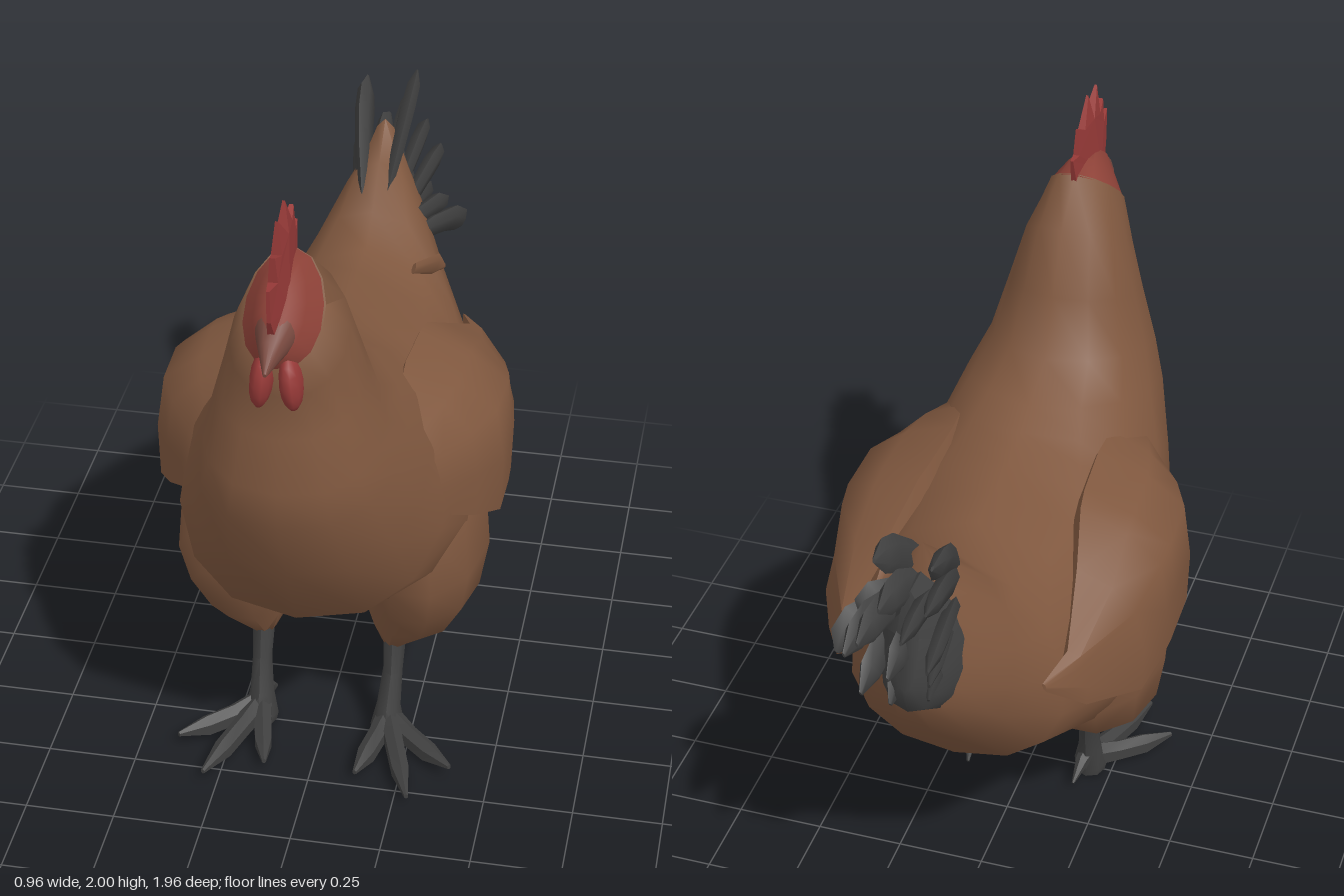
import * as THREE from 'three';
import { toCreasedNormals } from 'three/addons/utils/BufferGeometryUtils.js';

const V = (x, y, z) => new THREE.Vector3(x, y, z);
const mat = (color) => new THREE.MeshStandardMaterial({ color });
const BROWN = mat(0x80583f), FACE = mat(0x8e4238), RED = mat(0x983a38), DARK = mat(0x404040), HORN = mat(0x7a4a40);

// Skins closed cross-sections, caps both ends and turns the faces outward.
function loft(rings, crease = 0.9) {
  const n = rings[0].length, pts = rings.flat(), idx = [];
  for (let i = 0; i < rings.length - 1; i++)
    for (let j = 0; j < n; j++) {
      const a = i * n + j, b = i * n + (j + 1) % n;
      idx.push(a, b, a + n, b, b + n, a + n);
    }
  const last = (rings.length - 1) * n;
  for (let j = 1; j < n - 1; j++) {
    idx.push(0, j + 1, j);
    idx.push(last, last + j, last + j + 1);
  }
  let volume = 0;
  for (let i = 0; i < idx.length; i += 3)
    volume += pts[idx[i]].dot(V(0, 0, 0).crossVectors(pts[idx[i + 1]], pts[idx[i + 2]]));
  if (volume < 0) idx.reverse();
  const g = new THREE.BufferGeometry().setFromPoints(pts);
  g.setIndex(idx);
  return toCreasedNormals(g, crease);
}

function add(parent, name, geometry, material) {
  const m = new THREE.Mesh(geometry, material);
  m.name = name;
  parent.add(m);
  return m;
}

// Body section from an upper point (z, y) to a lower point (z, y) with half width w
function bodyRing([tz, ty, bz, by, w, k = 0.85]) {
  const out = [];
  for (let i = 0; i < 14; i++) {
    const a = (i / 14) * Math.PI * 2, s = Math.sin(a);
    const u = Math.pow((1 - Math.cos(a)) / 2, k);
    out.push(V(Math.sign(s) * w * Math.pow(Math.abs(s), 0.85), ty + (by - ty) * u, tz + (bz - tz) * u));
  }
  return out;
}

// Horizontal elliptical section
function flatRing([x, y, z, rx, rz], s, n = 10) {
  return Array.from({ length: n }, (_, i) => {
    const a = (i / n) * Math.PI * 2;
    return V(s * (x + rx * Math.cos(a)), y, z + rz * Math.sin(a));
  });
}

// Tapered blade along a curve: widths across `side` and thicknesses across the remaining axis
function blade(points, widths, thick, side, n = 6) {
  const curve = new THREE.CatmullRomCurve3(points);
  return loft(widths.map((w, i) => {
    const t = i / (widths.length - 1), c = curve.getPoint(t), d = curve.getTangent(t);
    const b = V(0, 0, 0).crossVectors(d, side).normalize();
    const e = V(0, 0, 0).crossVectors(b, d).normalize();
    return Array.from({ length: n }, (_, j) => {
      const a = (j / n) * Math.PI * 2;
      return c.clone().addScaledVector(e, Math.cos(a) * w).addScaledVector(b, Math.sin(a) * w * thick);
    });
  }));
}

function makeHead(g) {
  // Red face, running into the brown neck
  add(g, 'face', loft([
    [0.77, 1.82, 0.89, 1.73, 0.03], [0.69, 1.83, 0.885, 1.65, 0.065], [0.62, 1.81, 0.86, 1.6, 0.1],
  ].map(bodyRing), 1.2), FACE);
  // Beak
  add(g, 'beak', loft([
    bodyRing([0.86, 1.755, 0.85, 1.635, 0.05, 1]), bodyRing([0.92, 1.715, 0.9, 1.64, 0.03, 1]),
    bodyRing([0.98, 1.66, 0.978, 1.65, 0.005, 1]),
  ]), HORN);
  // Serrated comb, thickest at the middle of its base and thin at the tips and ends
  const outline = [[0.62, 1.77], [0.59, 1.87], [0.635, 1.865], [0.645, 1.94], [0.685, 1.92], [0.735, 2],
    [0.755, 1.92], [0.82, 1.99], [0.825, 1.9], [0.875, 1.92], [0.87, 1.85], [0.93, 1.86], [0.925, 1.77], [0.9, 1.72], [0.8, 1.74]];
  const comb = new THREE.ExtrudeGeometry(new THREE.Shape(outline.map(([z, y]) => new THREE.Vector2(-z, y))),
    { depth: 0.07, bevelEnabled: false });
  comb.translate(0, 0, -0.035).rotateY(Math.PI / 2);
  const p = comb.attributes.position;
  for (let i = 0; i < p.count; i++) {
    const rise = THREE.MathUtils.clamp((2.02 - p.getY(i)) / 0.2, 0.1, 1);
    p.setX(i, p.getX(i) * rise * Math.max(0.15, 1 - Math.abs(p.getZ(i) - 0.76) / 0.19));
  }
  comb.computeVertexNormals();
  add(g, 'comb', comb, RED);
  for (const s of [1, -1]) {
    const w = add(g, s > 0 ? 'leftWattle' : 'rightWattle', new THREE.SphereGeometry(1, 10, 8), RED);
    w.scale.set(0.03, 0.08, 0.052);
    w.position.set(s * 0.037, 1.56, 0.845);
    w.rotation.z = s * 0.1;
  }
}

function makeWing(g, s) {
  // Stations along z: upper edge, shoulder ridge and lower edge as x, y
  const stations = [
    [0.5, 0.2, 1.14, 0.26, 1.04, 0.26, 0.92], [0.38, 0.21, 1.2, 0.345, 1.07, 0.36, 0.88],
    [0.28, 0.215, 1.22, 0.41, 1.085, 0.425, 0.82],
    [0.17, 0.21, 1.22, 0.46, 1.09, 0.478, 0.77], [0, 0.22, 1.21, 0.467, 1.08, 0.478, 0.75],
    [-0.07, 0.23, 1.2, 0.46, 1.06, 0.475, 0.748], [-0.22, 0.265, 1.11, 0.43, 1.0, 0.455, 0.74],
    [-0.42, 0.3, 0.99, 0.335, 0.94, 0.355, 0.82], [-0.53, 0.265, 0.955, 0.275, 0.945, 0.275, 0.93],
  ];
  add(g, s > 0 ? 'leftWing' : 'rightWing', loft(stations.map(([z, tx, ty, rx, ry, bx, by], i) => {
    const t = i === stations.length - 1 ? 0.005 : 0.045;
    return [[tx, ty], [(tx + rx) / 2 + t * 0.4, (ty + ry) / 2 + t * 0.3], [rx, ry], [Math.max(rx, bx) + t * 0.1, (ry + by) / 2],
      [bx, by], [bx - t, by + t * 0.8], [rx - t * 1.6, ry - t], [tx - t * 0.4, ty - t]].map(([x, y]) => V(s * x, y, z));
  }), 1.1), BROWN);
}

function makeLeg(g, s) {
  const leg = new THREE.Group();
  leg.name = s > 0 ? 'leftLeg' : 'rightLeg';
  g.add(leg);
  add(leg, 'thigh', loft([
    [0.24, 0.98, 0.08, 0.12, 0.24], [0.26, 0.8, 0.08, 0.165, 0.31], [0.265, 0.6, 0.09, 0.177, 0.31],
    [0.25, 0.46, 0.1, 0.168, 0.23], [0.235, 0.36, 0.14, 0.122, 0.125], [0.19, 0.28, 0.165, 0.035, 0.045],
  ].map((r) => flatRing(r, s)), 1.2), BROWN);
  add(leg, 'shank', loft([
    [0.19, 0.33, 0.165, 0.034, 0.045], [0.19, 0.2, 0.2, 0.028, 0.035], [0.185, 0.1, 0.235, 0.034, 0.045],
    [0.185, 0.03, 0.25, 0.05, 0.055], [0.185, 0.005, 0.25, 0.045, 0.05],
  ].map((r) => flatRing(r, s, 8))), DARK);
  // Three splayed toes and a hind claw
  [[0.39, 0.045, 0.42], [0.29, 0.035, 0.555], [0.13, 0.035, 0.48]].forEach(([x, y, z], i) => {
    const a = V(s * 0.185, 0.055, 0.24), b = V(s * x, y, z), m = a.clone().lerp(b, 0.5).setY(0.038);
    add(leg, 'toe' + (i + 1), blade([a, m, b], [0.042, 0.035, 0.034, 0.008], 0.8, V(0, 1, 0)), DARK);
  });
  add(leg, 'hindClaw', blade([V(s * 0.185, 0.08, 0.24), V(s * 0.175, 0.07, 0.19), V(s * 0.165, 0.03, 0.13)],
    [0.035, 0.025, 0.005], 0.8, V(0, 1, 0)), DARK);
}

function makeTail(g) {
  const tail = new THREE.Group();
  tail.name = 'tail';
  g.add(tail);
  // Dark underside of the tail
  add(tail, 'tailBase', loft([
    [-0.58, 1.33, -0.74, 0.97, 0.125], [-0.7, 1.4, -0.84, 1.04, 0.09], [-0.8, 1.4, -0.86, 1.12, 0.03],
  ].map(bodyRing)), DARK);
  // Fan of curved upright feathers: tip z, tip y, tip x
  const tips = [[-0.89, 1.545, 0.06], [-0.86, 1.53, -0.08], [-0.95, 1.44, 0.03], [-0.94, 1.45, -0.09], [-0.975, 1.34, 0.08],
    [-0.96, 1.36, -0.03], [-0.97, 1.29, -0.1], [-0.94, 1.27, 0.13], [-0.93, 1.21, 0.02], [-0.9, 1.19, -0.08],
    [-0.91, 1.13, 0.1], [-0.86, 1.07, 0.04], [-0.85, 1.1, -0.06], [-0.76, 1.12, 0.22], [-0.7, 1.2, 0.17]];
  tips.forEach(([z, y, x], i) => {
    const root = V(x * 0.45, 1.2 + (y - 1.2) * 0.3, -0.56), tip = V(x, y, z);
    const mid = root.clone().lerp(tip, 0.6).add(V(x * 0.1, 0.035, -0.01));
    add(tail, 'tailFeather' + (i + 1),
      blade([root, mid, tip], [0.025, 0.045, 0.05, 0.045, 0.008], 0.48, V(0.25 * Math.sign(x), 1, 0.3)), DARK);
  });
  // Small loose feather beside the rump
  add(tail, 'rumpFeather', blade([V(0.14, 1.18, -0.38), V(0.19, 1.16, -0.45), V(0.21, 1.12, -0.51)],
    [0.02, 0.035, 0.006], 0.35, V(0, 1, 0.3)), BROWN);
}

export function createModel() {
  const g = new THREE.Group();
  g.name = 'hen';
  // Neck, breast, trunk and rump in one skin
  add(g, 'body', loft([
    [0.625, 1.812, 0.858, 1.6, 0.104], [0.5, 1.7, 0.83, 1.5, 0.15], [0.42, 1.53, 0.845, 1.38, 0.19],
    [0.35, 1.37, 0.867, 1.23, 0.235], [0.2, 1.31, 0.86, 1.12, 0.275], [0.12, 1.275, 0.75, 0.9, 0.325],
    [0.06, 1.255, 0.64, 0.68, 0.365], [0, 1.24, 0.4, 0.55, 0.405], [-0.12, 1.235, 0.17, 0.4, 0.43, 0.75],
    [-0.25, 1.23, -0.14, 0.45, 0.4, 0.75], [-0.4, 1.22, -0.48, 0.61, 0.305, 0.75], [-0.49, 1.29, -0.65, 0.82, 0.205],
    [-0.6, 1.39, -0.77, 1.0, 0.125], [-0.7, 1.48, -0.77, 1.12, 0.05],
  ].map(bodyRing), 1.3), BROWN);
  makeHead(g);
  makeTail(g);
  for (const s of [1, -1]) {
    makeWing(g, s);
    makeLeg(g, s);
  }
  return g;
}
